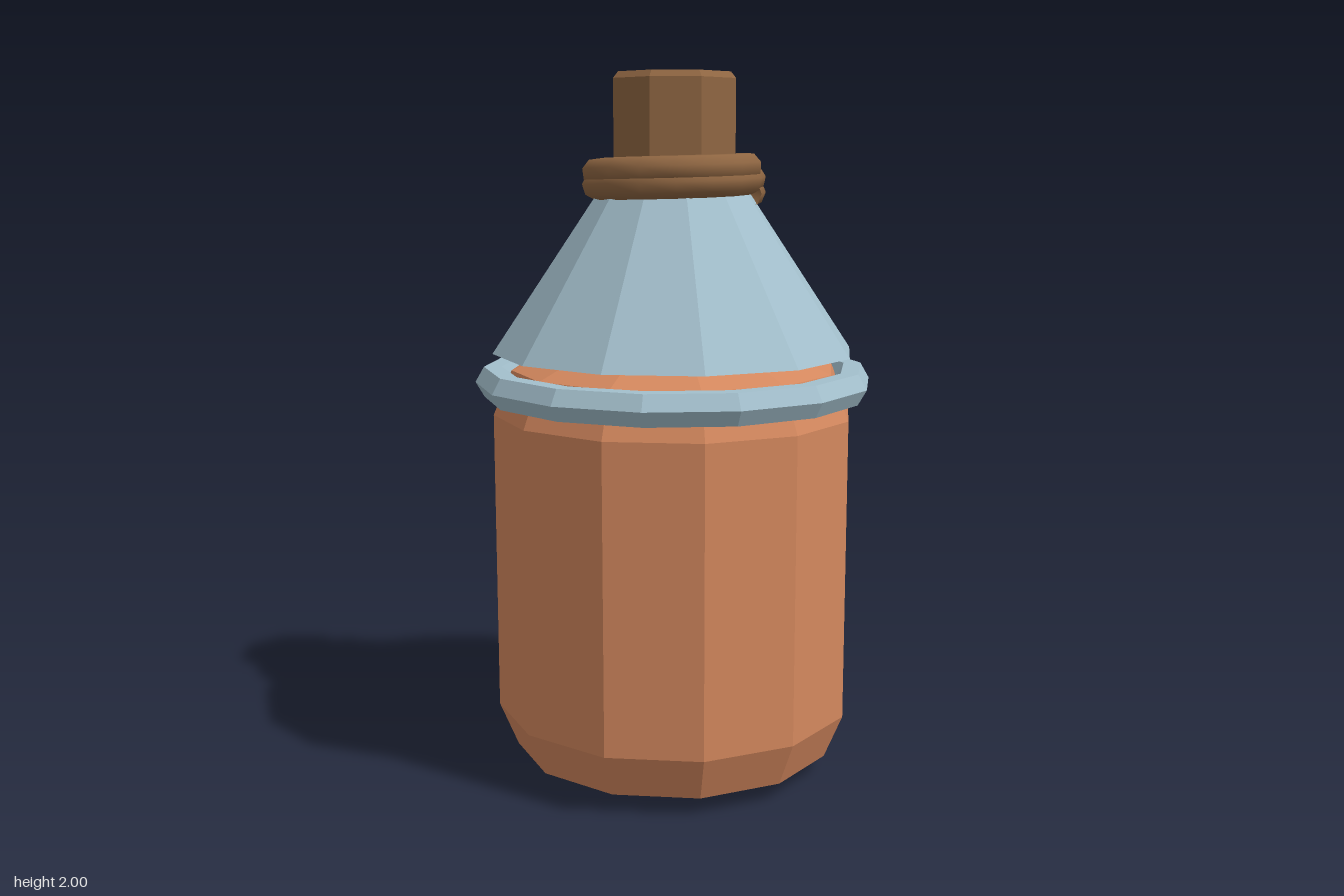
import * as THREE from 'three';

const paint = (name, color, flatShading = true) => {
  const m = new THREE.MeshStandardMaterial({ color, flatShading });
  m.name = name;
  return m;
};

// Faceted solid of revolution from [radius, height] pairs, bottom to top
const turned = (profile, sides) =>
  new THREE.LatheGeometry(profile.map(([r, y]) => new THREE.Vector2(r, y)), sides);

// Coil that climbs around the neck, starting at +x and turning towards -z
class Coil extends THREE.Curve {
  constructor(radius, bottom, top, turns) {
    super();
    Object.assign(this, { radius, bottom, top, turns });
  }
  getPoint(t, target = new THREE.Vector3()) {
    const a = t * this.turns * Math.PI * 2;
    return target.set(
      this.radius * Math.cos(a),
      this.bottom + (this.top - this.bottom) * t,
      -this.radius * Math.sin(a)
    );
  }
}

export function createModel() {
  const group = new THREE.Group();
  group.name = 'bottle';

  const clay = paint('clay orange', 0xd4885e);
  const steel = paint('pale blue', 0xa3bfcc);
  const cork = paint('cork brown', 0x8f6642);
  const cord = paint('cord brown', 0x8f6642, false);
  cord.side = THREE.DoubleSide;

  const add = (name, geometry, material, y = 0) => {
    const mesh = new THREE.Mesh(geometry, material);
    mesh.name = name;
    mesh.position.y = y;
    group.add(mesh);
    return mesh;
  };

  // Body with rounded-off bottom and shoulder
  add('body', turned([
    [0, 0], [0.34, 0], [0.467, 0.053], [0.52, 0.18],
    [0.52, 1.045], [0.467, 1.172], [0.34, 1.225], [0, 1.225],
  ], 12), clay);

  // Band around the shoulder
  const band = new THREE.TorusGeometry(0.52, 0.05, 6, 14);
  band.rotateX(Math.PI / 2);
  add('shoulderBand', band, steel, 1.135);

  // Conical neck
  add('neck', new THREE.CylinderGeometry(0.19, 0.52, 0.49, 12), steel, 1.22 + 0.245);

  // Stopper with a small chamfer on top
  add('stopper', turned([
    [0, 1.65], [0.183, 1.65], [0.183, 1.982], [0.168, 2], [0, 2],
  ], 8), cork);

  // Cord wound twice around the neck
  add('neckCord', new THREE.TubeGeometry(new Coil(0.22, 1.668, 1.742, 2), 32, 0.04, 8), cord);

  return group;
}
